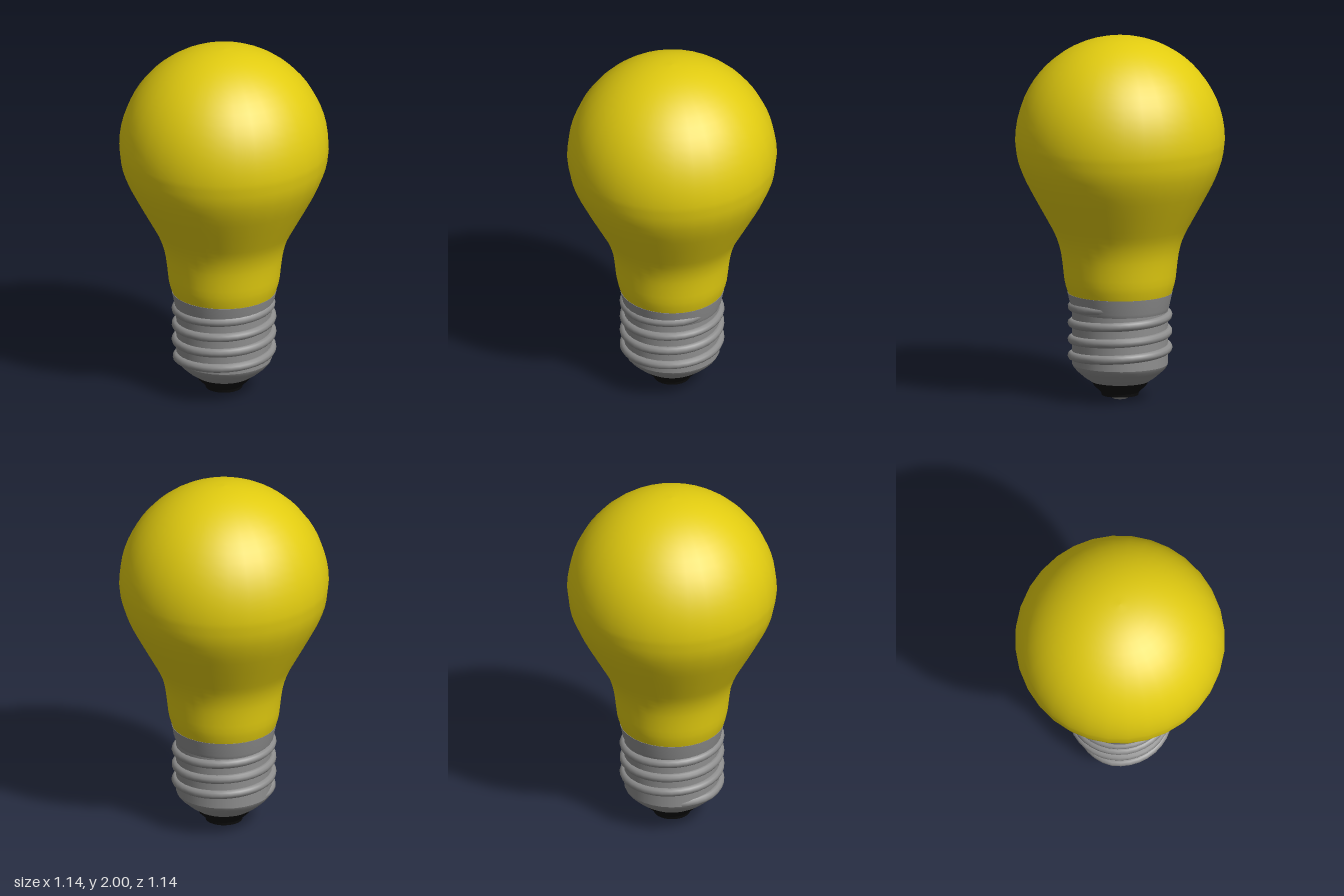
import * as THREE from 'three';

const SIDES = 32;
const glass = new THREE.MeshStandardMaterial({ name: 'yellow glass', color: 0xe2cc10 });
const metal = new THREE.MeshStandardMaterial({ name: 'grey metal', color: 0x8e8e8e });
const black = new THREE.MeshStandardMaterial({ name: 'black insulator', color: 0x0c0c0c });

// Turned part from [radius, height] pairs, listed bottom to top
function turned(name, profile, material) {
  const points = profile.map(([r, y]) => new THREE.Vector2(r, y));
  const mesh = new THREE.Mesh(new THREE.LatheGeometry(points, SIDES), material);
  mesh.name = name;
  return mesh;
}

// Helix rising from -x through +z to +x, sinking into the core at both ends
class ThreadCurve extends THREE.Curve {
  getPoint(t, target = new THREE.Vector3()) {
    const turns = 3.65, pitch = 0.09;
    const angle = t * turns * Math.PI * 2;
    const ends = Math.min(1, Math.min(t, 1 - t) / 0.03);
    const r = 0.235 + 0.025 * ends;
    return target.set(-Math.cos(angle) * r, 0.205 + t * turns * pitch, Math.sin(angle) * r);
  }
}

export function createModel() {
  const model = new THREE.Group();
  model.name = 'lightBulb';

  // Glass: smooth neck curve running into a spherical dome
  const neck = new THREE.SplineCurve([
    [0.278, 0.575], [0.3, 0.65], [0.312, 0.75], [0.325, 0.83], [0.352, 0.91], [0.4, 1.0],
    [0.461, 1.11], [0.518, 1.22], [0.556, 1.325], [0.57, 1.43],
  ].map(([r, y]) => new THREE.Vector2(r, y))).getPoints(24).map((p) => [p.x, p.y]);
  const dome = [];
  for (let i = 1; i <= 16; i++) {
    const a = (i / 16) * Math.PI / 2;
    dome.push([i === 16 ? 0 : 0.57 * Math.cos(a), 1.43 + 0.57 * Math.sin(a)]);
  }
  model.add(turned('glassBulb', [...neck, ...dome], glass));

  // Screw base
  model.add(turned('collarRim', [[0.285, 0.59], [0.27, 0.59]], metal));
  model.add(turned('collar', [[0.26, 0.49], [0.268, 0.51], [0.285, 0.59]], metal));
  model.add(turned('screwCore', [[0.26, 0.195], [0.26, 0.49]], metal));
  model.add(turned('baseCup', [[0.155, 0.098], [0.195, 0.125], [0.235, 0.16], [0.253, 0.18], [0.26, 0.195]], metal));

  const thread = new THREE.Mesh(
    new THREE.TubeGeometry(new ThreadCurve(), 128, 0.025, 10), metal);
  thread.name = 'screwThread';
  model.add(thread);

  // Insulator and contact at the foot
  model.add(turned('insulator', [[0.103, 0.04], [0.14, 0.075], [0.158, 0.1]], black));
  model.add(turned('insulatorStep', [[0.1, 0.024], [0.103, 0.04]], black));
  model.add(turned('insulatorBase', [[0.045, 0.016], [0.1, 0.024]], black));
  model.add(turned('contact', [[0, 0], [0.035, 0.003], [0.053, 0.011], [0.055, 0.02]], metal));

  return model;
}
